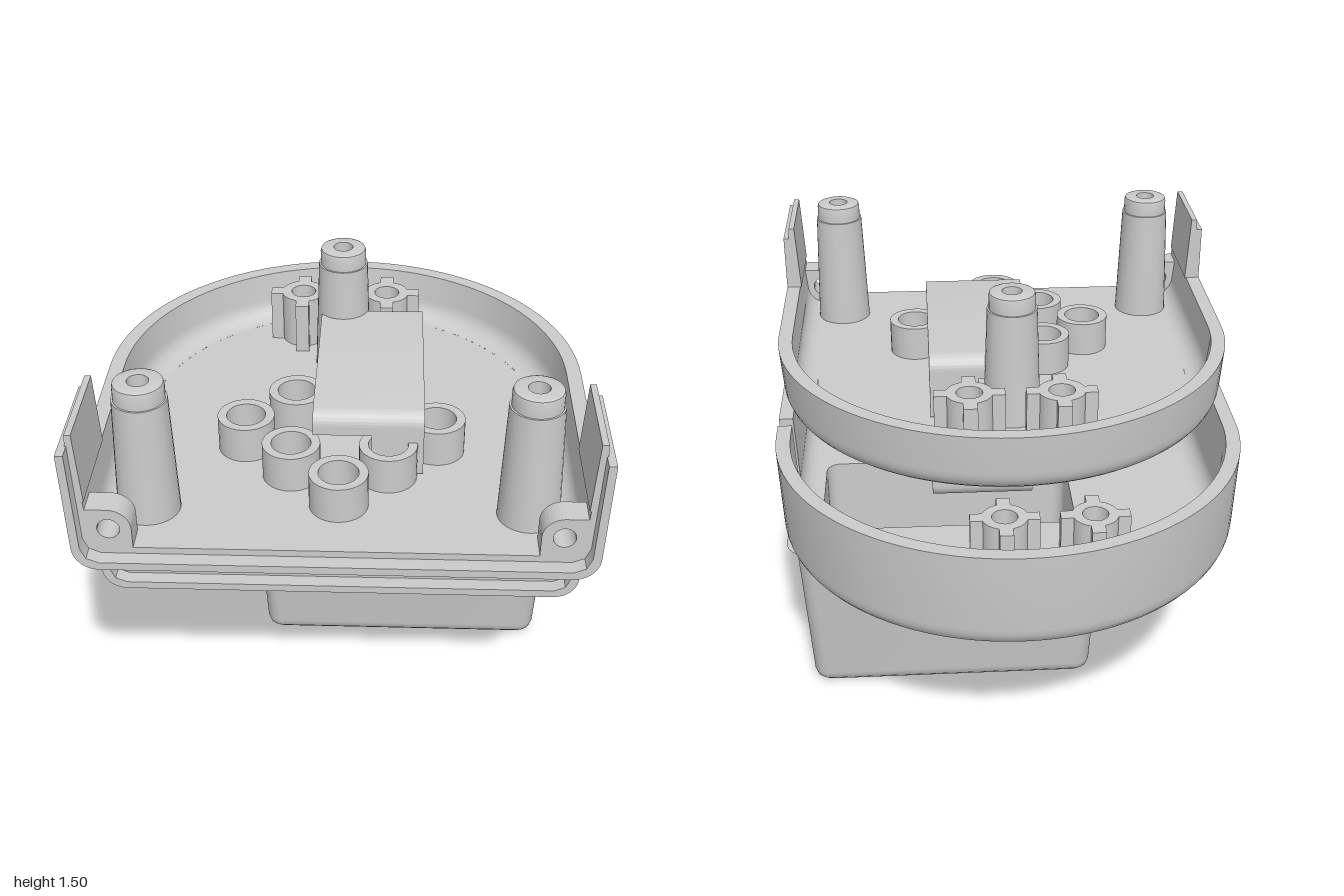
import * as THREE from 'three';
import { toCreasedNormals } from 'three/addons/utils/BufferGeometryUtils.js';

const mat = new THREE.MeshStandardMaterial({ color: 0xcccccc });
const V2 = (x, y) => new THREE.Vector2(x, y);

function add(parent, name, geo, x = 0, y = 0, z = 0) {
  const mesh = new THREE.Mesh(toCreasedNormals(geo, 0.6), mat);
  mesh.name = name;
  mesh.position.set(x, y, z);
  parent.add(mesh);
  return mesh;
}

// Same part on both sides
function addPair(parent, name, geo, x = 0, y = 0, z = 0) {
  add(parent, name + 'Left', geo, x, y, z);
  add(parent, name + 'Right', geo, -x, y, z).scale.x = -1;
}

const circle = (x, y, r) => new THREE.Path().absarc(x, y, r, 0, Math.PI * 2, true);
const extrude = (shape, depth) =>
  new THREE.ExtrudeGeometry(shape, { depth, bevelEnabled: false, curveSegments: 16 });
const extrudeUp = (shape, depth) => extrude(shape, depth).rotateX(-Math.PI / 2);

// Surface through a list of equal-length rings; caps holds extra triangles as points
function skin(rings, caps = []) {
  const pos = [];
  const tri = (...pts) => pts.forEach((p) => pos.push(...p));
  for (let v = 0; v < rings.length - 1; v++) {
    for (let u = 0; u < rings[0].length - 1; u++) {
      const a = rings[v][u], b = rings[v][u + 1], c = rings[v + 1][u + 1], d = rings[v + 1][u];
      tri(a, b, c);
      tri(a, c, d);
    }
  }
  caps.forEach((t) => tri(...t));
  const geo = new THREE.BufferGeometry();
  geo.setAttribute('position', new THREE.Float32BufferAttribute(pos, 3));
  return geo;
}

// Arch-shaped outline in plan: straight sides and a round back
const R = 0.8;
const straight = (x, z0, z1) => [z0, z1].map((z) => ({ x, z, nx: -Math.sign(x), nz: 0 }));
function arch(zc, n = 48) {
  return Array.from({ length: n + 1 }, (_, i) => {
    const a = (Math.PI * i) / n;
    return { x: R * Math.cos(a), z: zc - R * Math.sin(a), nx: -Math.cos(a), nz: Math.sin(a) };
  });
}

// Wall section as (inset, height) points, with rounded outer and inner feet
const INSET = 0.12, FLOOR = 0.05;
function wallSection(y0, top) {
  const pts = [V2(INSET, y0)];
  for (let i = 0; i <= 6; i++) {
    const a = (Math.PI / 2) * (i / 6);
    pts.push(V2(0.08 - 0.08 * Math.sin(a), y0 + 0.08 - 0.08 * Math.cos(a)));
  }
  pts.push(V2(-0.01, top), V2(0.04, top));
  for (let i = 0; i <= 6; i++) {
    const a = (Math.PI / 2) * (1 - i / 6);
    pts.push(V2(INSET - 0.07 * Math.sin(a), y0 + FLOOR + 0.07 - 0.07 * Math.cos(a)));
  }
  return pts;
}

// Sweep a wall section along a plan path and close both ends
function wall(path, section) {
  const at = (p, s) => [p.x + p.nx * s.x, s.y, p.z + p.nz * s.x];
  const rings = section.map((s) => path.map((p) => at(p, s)));
  const caps = [];
  const end = path[path.length - 1];
  THREE.ShapeUtils.triangulateShape(section, []).forEach((f) => {
    let [a, b, c] = f.map((i) => section[i]);
    if (THREE.ShapeUtils.area([a, b, c]) < 0) [b, c] = [c, b];
    caps.push([at(end, a), at(end, b), at(end, c)], [at(path[0], a), at(path[0], c), at(path[0], b)]);
  });
  return skin(rings, caps);
}

function floorPlate(zFront, zc, holes) {
  const r = R - INSET;
  const s = new THREE.Shape().moveTo(-r, -zFront).lineTo(r, -zFront).lineTo(r, -zc);
  s.absarc(0, -zc, r, 0, Math.PI, false);
  s.closePath();
  s.holes.push(...holes);
  return extrudeUp(s, FLOOR);
}

// Thin U-shaped rim at the open front
function frontRim(y0, top) {
  const side = [V2(0.72, y0)];
  for (let i = 1; i <= 6; i++) {
    const a = (Math.PI / 2) * (i / 6);
    side.push(V2(0.72 + 0.08 * Math.sin(a), y0 + 0.08 - 0.08 * Math.cos(a)));
  }
  side.push(V2(0.81, top), V2(0.785, top), V2(0.773, y0 + 0.08), V2(0.757, y0 + 0.043), V2(0.72, y0 + 0.027));
  const other = side.map((p) => V2(-p.x, p.y)).reverse();
  return extrude(new THREE.Shape([...side, ...other]), 0.05);
}

// Screw lug in the lower corner of the open front
function cornerLug(y0) {
  const s = new THREE.Shape().moveTo(0.62, y0 + 0.04).lineTo(0.77, y0 + 0.04).lineTo(0.77, y0 + 0.19);
  s.lineTo(0.69, y0 + 0.19).absarc(0.69, y0 + 0.12, 0.07, Math.PI / 2, Math.PI, false);
  s.holes.push(circle(0.69, y0 + 0.12, 0.035));
  return extrude(s, 0.09);
}

const tube = (outer, inner, h) =>
  new THREE.LatheGeometry([V2(outer, 0), V2(outer, h), V2(inner, h), V2(inner, 0)], 28);

// Tapered screw post with a stepped, rounded tip
const postGeo = new THREE.LatheGeometry(
  [[0.1, 0], [0.086, 0.41], [0.08, 0.41], [0.08, 0.455], [0.077, 0.466], [0.068, 0.47], [0.034, 0.47], [0.034, 0]]
    .map(([x, y]) => V2(x, y)), 32);

// Tube with four ribs
function ribbedPost(h) {
  const s = new THREE.Shape();
  const w = 0.024, half = Math.asin(w / 0.08);
  for (let k = 0; k < 4; k++) {
    const a = (k * Math.PI) / 2, c = Math.cos(a), n = Math.sin(a);
    const tip = (t) => [0.12 * c - t * n, 0.12 * n + t * c];
    if (k === 0) s.moveTo(...tip(-w));
    else s.lineTo(...tip(-w));
    s.lineTo(...tip(w));
    s.absarc(0, 0, 0.08, a + half, a + Math.PI / 2 - half, false);
  }
  s.closePath();
  s.holes.push(circle(0, 0, 0.045));
  return extrudeUp(s, h);
}

// Slab in the z-y plane with rounded top corners, running along x
function slab(x0, x1, z0, z1, h, r) {
  const s = new THREE.Shape().moveTo(-z1, 0).lineTo(-z0, 0).lineTo(-z0, h - r);
  s.absarc(-z0 - r, h - r, r, 0, Math.PI / 2, false);
  s.absarc(-z1 + r, h - r, r, Math.PI / 2, Math.PI, false);
  s.closePath();
  return extrude(s, x1 - x0).rotateY(Math.PI / 2).translate(x0, 0, 0);
}

// Closed rounded rectangle ring
function rectRing(hw, hd, r, y) {
  const pts = [];
  [[1, -1], [-1, -1], [-1, 1], [1, 1]].forEach(([sx, sz], k) => {
    for (let i = 0; i <= 6; i++) {
      const a = (Math.PI / 2) * (k + i / 6);
      pts.push([sx * (hw - r) + r * Math.cos(a), y, sz * (hd - r) - r * Math.sin(a)]);
    }
  });
  pts.push(pts[0]);
  return pts;
}

function lowerShell() {
  const g = new THREE.Group();
  g.name = 'lowerShell';
  const y0 = 0.62, top = 0.98, zc = -0.19, zf = 0.61;
  const bx = 0.215, bz = -0.085;
  // Wall, interrupted by a narrow slot on the left side
  const full = wallSection(y0, top);
  add(g, 'wallFront', wall(straight(R, zf, -0.06), full));
  add(g, 'wallUnderSlot', wall(straight(R, -0.06, -0.11), wallSection(y0, 0.77)));
  const rest = [straight(R, -0.11, zc)[0], ...arch(zc), straight(-R, zc, zf)[1]];
  add(g, 'wallMain', wall(rest, full));
  const opening = new THREE.Path(rectRing(0.45, 0.23, 0.05, 0).map(([x, , z]) => V2(x + bx, -(z + bz))));
  add(g, 'floor', floorPlate(zf, zc, [opening]), 0, y0);
  add(g, 'frontRim', frontRim(y0, top), 0, 0, zf);
  addPair(g, 'cornerLug', cornerLug(y0), 0, 0, zf - 0.09);
  addPair(g, 'shortPost', tube(0.06, 0.03, 0.15), 0.56, 0.66, 0.4);
  for (const x of [-0.28, 0.03]) add(g, 'ribbedPost', ribbedPost(0.15), x, 0.66, -0.49);
  // Hollow plug box: outer skin upwards, then inner skin downwards
  const rings = [
    [0, 0, 0, 0], [0.465, 0.205, 0.03, 0], [0.49, 0.23, 0.04, 0.007], [0.508, 0.246, 0.05, 0.024],
    [0.515, 0.252, 0.05, 0.05], [0.542, 0.274, 0.05, 0.57], [0.546, 0.28, 0.055, 0.593],
    [0.556, 0.294, 0.065, 0.611], [0.575, 0.315, 0.08, 0.6205], [0.45, 0.23, 0.05, 0.6205],
    [0.45, 0.23, 0.05, 0.06], [0, 0, 0, 0.06],
  ].map((p) => rectRing(...p));
  add(g, 'plugBox', skin(rings), bx, 0, bz);
  return g;
}

function upperShell() {
  const g = new THREE.Group();
  g.name = 'upperShell';
  const y0 = 0.98, top = 1.2, zc = 0.165, zf = 0.95, fy = y0 + FLOOR;
  const path = [straight(R, zf, zc)[0], ...arch(zc), straight(-R, zc, zf)[1]];
  add(g, 'wall', wall(path, wallSection(y0, top)));
  const holes = [circle(0.6, -0.74, 0.034), circle(-0.6, -0.74, 0.034), circle(0, -0.71, 0.065)];
  add(g, 'floor', floorPlate(zf, zc, holes), 0, y0);
  add(g, 'frontRim', frontRim(y0, 1.4), 0, 0, zf);
  addPair(g, 'cornerLug', cornerLug(y0), 0, 0, zf - 0.09);
  // Raised front walls with an inner tongue
  const raised = [[0.755, 1.2], [0.81, 1.2], [0.81, 1.4], [0.79, 1.4], [0.788, 1.44], [0.768, 1.44]];
  addPair(g, 'raisedWall', extrude(new THREE.Shape(raised.map((p) => V2(...p))), 0.33), 0, 0, 0.62);
  // Posts and sockets
  addPair(g, 'screwPost', postGeo, 0.6, fy, 0.74);
  add(g, 'rearPost', postGeo, -0.015, fy, -0.17);
  for (const x of [-0.17, 0.14]) {
    add(g, 'ribbedPost', ribbedPost(0.19), x, fy, -0.36);
    add(g, 'ribbedPostFoot', new THREE.CylinderGeometry(0.11, 0.1, 0.03, 28), x, y0 - 0.015, -0.36);
  }
  const sockets = [[-0.16, 0.23], [0.155, 0.23], [-0.32, 0.39], [0.315, 0.39], [-0.16, 0.55], [0.155, 0.55], [0, 0.71]];
  for (const [x, z] of sockets) add(g, 'socket', tube(0.095, 0.065, 0.125), x, fy, z);
  // Overhanging clip above the floor and its twin below
  add(g, 'clipStem', slab(0.1, 0.27, -0.18, 0.54, 0.22, 0.05), 0, fy + 0.005);
  add(g, 'clipPlate', slab(-0.09, 0.27, -0.18, 0.54, 0.08, 0.05), 0, 1.18);
  const under = new THREE.Group();
  under.name = 'underClip';
  under.rotation.x = Math.PI;
  add(under, 'underClipStem', slab(0.1, 0.27, -0.54, 0.18, 0.27, 0.05), 0, -y0);
  add(under, 'underClipPlate', slab(-0.09, 0.27, -0.54, 0.18, 0.08, 0.05), 0, -0.78);
  g.add(under);
  return g;
}

export function createModel() {
  const model = new THREE.Group();
  model.name = 'splitHousing';
  model.add(lowerShell(), upperShell());
  return model;
}
